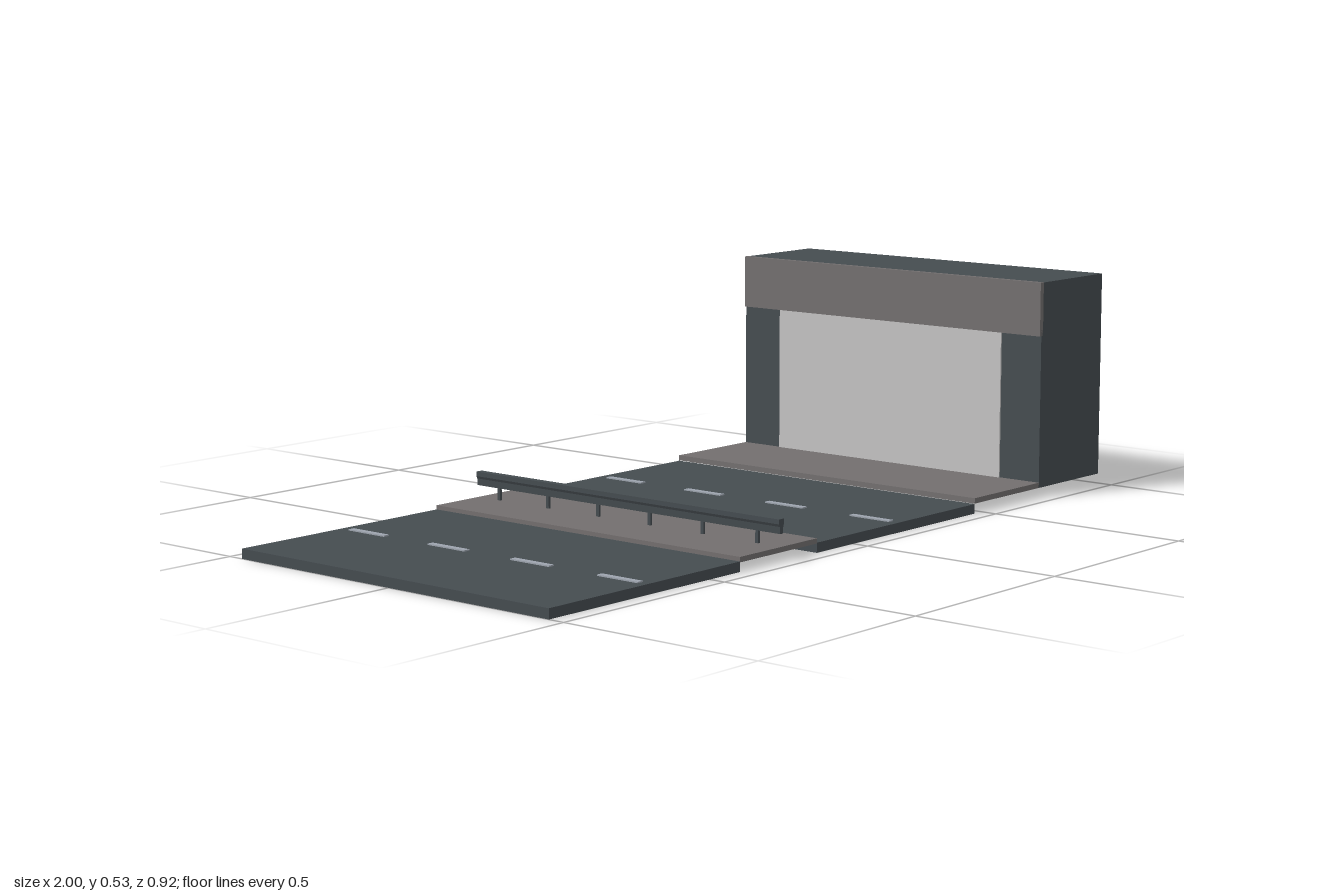
import * as THREE from 'three';

const DEPTH = 0.92;

export function createModel() {
  const material = (name, color) => {
    const m = new THREE.MeshStandardMaterial({ color });
    m.name = name;
    return m;
  };
  const asphalt = material('dark slate', 0x454c50);
  const concrete = material('warm grey', 0x736f6f);
  const paint = material('line grey', 0x9da4ae);
  const shutterGrey = material('light grey', 0xc4c3c3);

  const model = new THREE.Group();
  model.name = 'streetSection';

  // Box given by its limits on each axis
  const box = (name, mat, x0, x1, y0, y1, z0 = -DEPTH / 2, z1 = DEPTH / 2, parent = model) => {
    const mesh = new THREE.Mesh(new THREE.BoxGeometry(x1 - x0, y1 - y0, z1 - z0), mat);
    mesh.position.set((x0 + x1) / 2, (y0 + y1) / 2, (z0 + z1) / 2);
    mesh.name = name;
    parent.add(mesh);
    return mesh;
  };

  // Carriageways with dashed centre lines
  for (const [name, x0, x1, lineX] of [['outerRoad', -1, -0.4, -0.7], ['innerRoad', -0.133, 0.47, 0.169]]) {
    box(name, asphalt, x0, x1, 0, 0.023);
    for (let i = 0; i < 4; i++) {
      const z = -0.374 + i * 0.252;
      box('laneDash', paint, lineX - 0.008, lineX + 0.008, 0.022, 0.026, z - 0.057, z + 0.057);
    }
  }

  // Raised median and pavement
  box('median', concrete, -0.4, -0.133, 0.021, 0.033);
  box('pavement', concrete, 0.47, 0.738, 0.024, 0.037);

  // Crash barrier: tapered rail on thin posts
  const barrier = new THREE.Group();
  barrier.name = 'crashBarrier';
  barrier.position.x = -0.258;
  const profile = new THREE.Shape([
    [-0.005, 0.062], [0.005, 0.062], [0.006, 0.078], [0.009, 0.084], [0.009, 0.095],
    [-0.009, 0.095], [-0.009, 0.084], [-0.006, 0.078],
  ].map(([x, y]) => new THREE.Vector2(x, y)));
  const rail = new THREE.Mesh(
    new THREE.ExtrudeGeometry(profile, { depth: DEPTH, bevelEnabled: false }), asphalt);
  rail.position.z = -DEPTH / 2;
  rail.name = 'rail';
  barrier.add(rail);
  for (let i = 0; i < 6; i++) {
    const z = (i - 2.5) * 0.157;
    box('post', asphalt, -0.003, 0.003, 0.012, 0.064, z - 0.004, z + 0.004, barrier);
  }
  model.add(barrier);

  // Building with shop front facing the road
  const building = new THREE.Group();
  building.name = 'building';
  box('walls', asphalt, 0.738, 1, 0.024, 0.525, undefined, undefined, building);
  box('fascia', concrete, 0.732, 0.745, 0.395, 0.5255, undefined, undefined, building);
  box('shutter', shutterGrey, 0.734, 0.74, 0.037, 0.395, -0.345, 0.345, building);
  model.add(building);

  return model;
}
